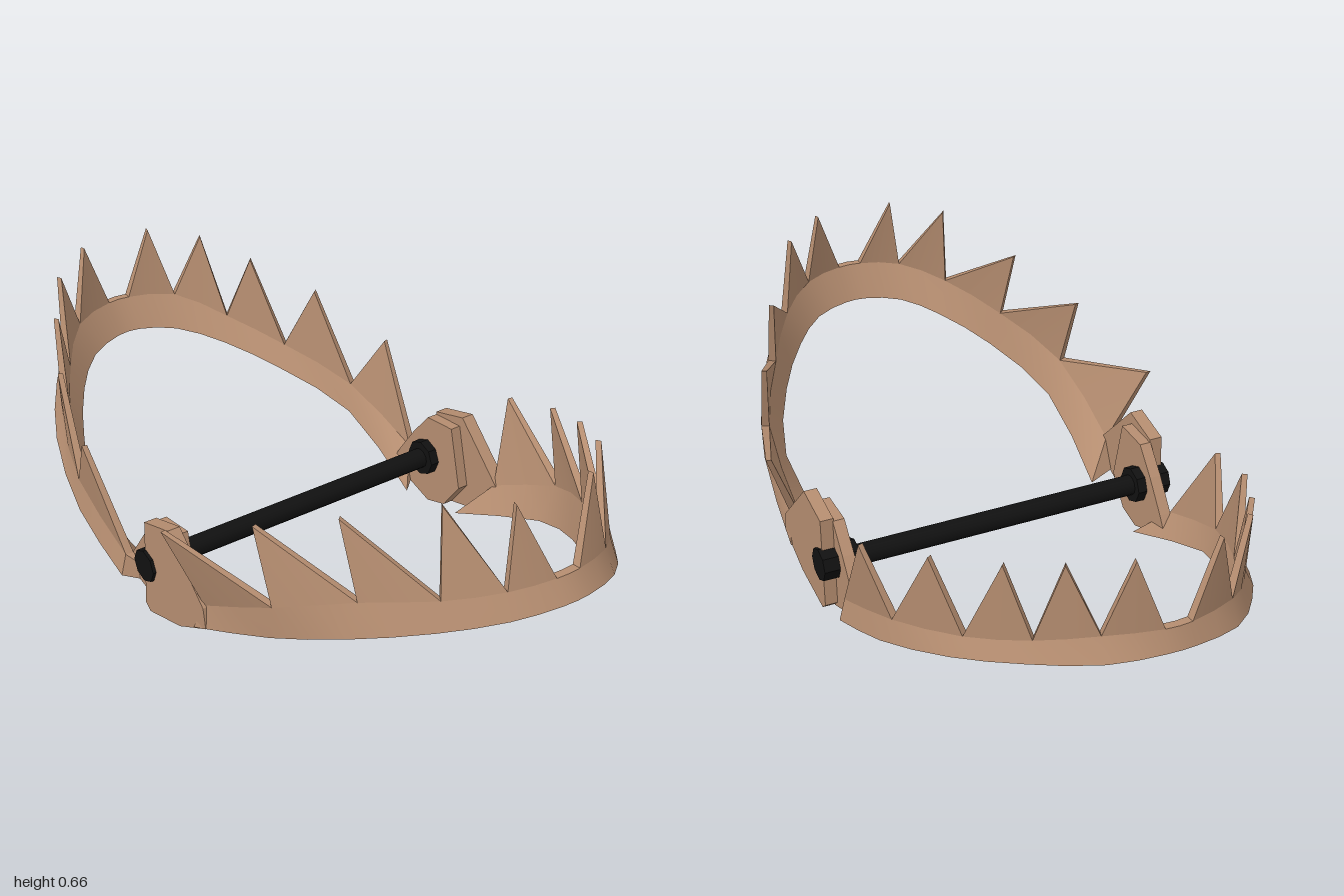
import * as THREE from 'three';
import { toCreasedNormals } from 'three/addons/utils/BufferGeometryUtils.js';

const bronze = new THREE.MeshStandardMaterial({ color: 0xb58d70, side: THREE.DoubleSide });
const black = new THREE.MeshStandardMaterial({ color: 0x111111 });
const V = (x, y, z) => new THREE.Vector3(x, y, z);

function mesh(name, geometry, material) {
  const m = new THREE.Mesh(geometry, material);
  m.name = name;
  return m;
}

// Surface from a list of corner points, three per triangle
function fromTriangles(points) {
  const g = new THREE.BufferGeometry().setFromPoints(points);
  return toCreasedNormals(g, 0.6);
}

// Half a path, listed from the middle outwards, becomes a full mirrored curve
function mirroredCurve(half, side) {
  const at = (s) => half.map(([x, y, z]) => V(x * s, y, z));
  return new THREE.CatmullRomCurve3([...at(side).reverse(), ...at(-side)]);
}

// One jaw: a wedge-shaped band lofted along four rails, with a tooth between each pair of valleys
function jaw(name, side, { outer, inner, valleys, tips, height }) {
  const group = new THREE.Group();
  group.name = name;
  const onPlane = (list) => list.map(([x, z]) => [x, height(z), z]);
  const thin = (list, t) => list.map(([x, y, z]) => {
    const r = Math.hypot(x, z * 0.5);
    return [x * (1 - t / r), y, z - side * t * Math.abs(z * 0.5) / r];
  });
  const rails = [onPlane(outer), valleys, thin(valleys, 0.022), onPlane(inner)]
    .map((r) => mirroredCurve(r, side));
  const n = valleys.length, steps = 2 * (2 * n - 1);
  const rings = [];
  for (let i = 0; i <= steps; i++) rings.push(rails.map((c) => c.getPoint(i / steps)));

  // Band
  const band = [];
  const quad = (out, a, b, c, d) => out.push(a, b, c, a, c, d);
  for (let i = 0; i < steps; i++) {
    const a = rings[i], b = rings[i + 1];
    for (let k = 0; k < 4; k++) {
      const l = (k + 1) % 4;
      quad(band, a[k], a[l], b[l], b[k]);
    }
  }
  quad(band, rings[0][3], rings[0][2], rings[0][1], rings[0][0]);
  quad(band, ...rings[steps]);
  group.add(mesh(name + 'Band', fromTriangles(band), bronze));

  // Teeth
  const tipsIn = thin(tips, 0.014);
  const pairs = tips.map((t, i) => [t, tipsIn[i]]);
  const all = [
    ...pairs.map((p) => p.map(([x, y, z]) => V(x * side, y, z))).reverse(),
    null, // flat gap in the middle
    ...pairs.map((p) => p.map(([x, y, z]) => V(-x * side, y, z))),
  ];
  all.forEach((tip, i) => {
    if (!tip) return;
    const [p, q] = tip;
    const [a, m, b] = [0, 1, 2].map((k) => rings[2 * i + k]);
    const t = [a[1], p, m[1], m[1], p, b[1], m[2], q, a[2], b[2], q, m[2]];
    quad(t, a[1], a[2], q, p);
    quad(t, b[2], b[1], p, q);
    group.add(mesh('tooth', fromTriangles(t), bronze));
  });
  return group;
}

// Flat hinge plate drawn in (z, y) and given a thickness along x
function hingePlate(name, outline, x, width, s) {
  const shape = new THREE.Shape(outline.map(([z, y]) => new THREE.Vector2(-z, y)));
  const g = new THREE.ExtrudeGeometry(shape, { depth: width, bevelEnabled: false });
  g.rotateY(Math.PI / 2);
  g.translate(s > 0 ? x : -x - width, 0, 0);
  return mesh(name, g, bronze);
}

function rod(name, radius, length, sides, x) {
  const g = new THREE.CylinderGeometry(radius, radius, length, sides);
  g.rotateZ(Math.PI / 2);
  const m = mesh(name, sides < 10 ? toCreasedNormals(g, 0.5) : g, black);
  m.position.set(x, 0.142, -0.048);
  return m;
}

export function createModel() {
  const model = new THREE.Group();
  model.name = 'jawTrap';

  model.add(jaw('frontJaw', 1, {
    height: (z) => 0.41 - (1 - z) * 0.405,
    outer: [[0.04, 0.998], [0.16, 0.955], [0.28, 0.84], [0.39, 0.66], [0.465, 0.45], [0.5, 0.17]],
    inner: [[0.03, 0.9], [0.13, 0.87], [0.22, 0.79], [0.32, 0.65], [0.405, 0.44], [0.385, 0.13]],
    valleys: [[0.035, 0.465, 0.965], [0.15, 0.455, 0.93], [0.26, 0.42, 0.83],
      [0.365, 0.365, 0.66], [0.465, 0.28, 0.46], [0.485, 0.15, 0.2]],
    tips: [[0.115, 0.66, 0.905], [0.24, 0.65, 0.8], [0.375, 0.565, 0.6],
      [0.475, 0.48, 0.4], [0.565, 0.365, 0.14]],
  }));

  model.add(jaw('backJaw', -1, {
    height: (z) => 0.335 * (-z - 0.04) / 0.96,
    outer: [[0.04, -0.998], [0.17, -0.96], [0.3, -0.82], [0.41, -0.64], [0.485, -0.4], [0.5, -0.17]],
    inner: [[0.035, -0.91], [0.14, -0.87], [0.24, -0.77], [0.34, -0.61], [0.425, -0.4], [0.395, -0.09]],
    valleys: [[0.035, 0.39, -0.98], [0.17, 0.38, -0.93], [0.28, 0.325, -0.81],
      [0.38, 0.265, -0.65], [0.465, 0.2, -0.43], [0.485, 0.105, -0.17]],
    tips: [[0.11, 0.585, -0.97], [0.24, 0.56, -0.885], [0.33, 0.51, -0.755],
      [0.43, 0.45, -0.57], [0.505, 0.365, -0.33]],
  }));

  // Overlapping hinge plates, front jaw outside and back jaw inside
  const frontPlate = [[0.21, 0.15], [0.06, 0.3], [-0.05, 0.27], [-0.06, 0.02], [-0.04, 0.003], [0.1, 0.035], [0.22, 0.094]];
  const backPlate = [[-0.17, 0.105], [-0.11, 0.19], [-0.05, 0.262], [0.05, 0.27], [0.09, 0.1], [0.03, 0.02], [-0.04, 0], [-0.2, 0.055]];
  for (const s of [1, -1]) {
    model.add(hingePlate('frontHingePlate', frontPlate, 0.46, 0.036, s));
    model.add(hingePlate('backHingePlate', backPlate, 0.43, 0.032, s));
    model.add(rod('innerBoltHead', 0.05, 0.045, 8, s * 0.427));
    model.add(rod('outerBoltHead', 0.045, 0.05, 8, s * 0.48));
  }

  // Hinge bar
  model.add(rod('hingeBar', 0.028, 0.9, 12, 0));
  return model;
}
